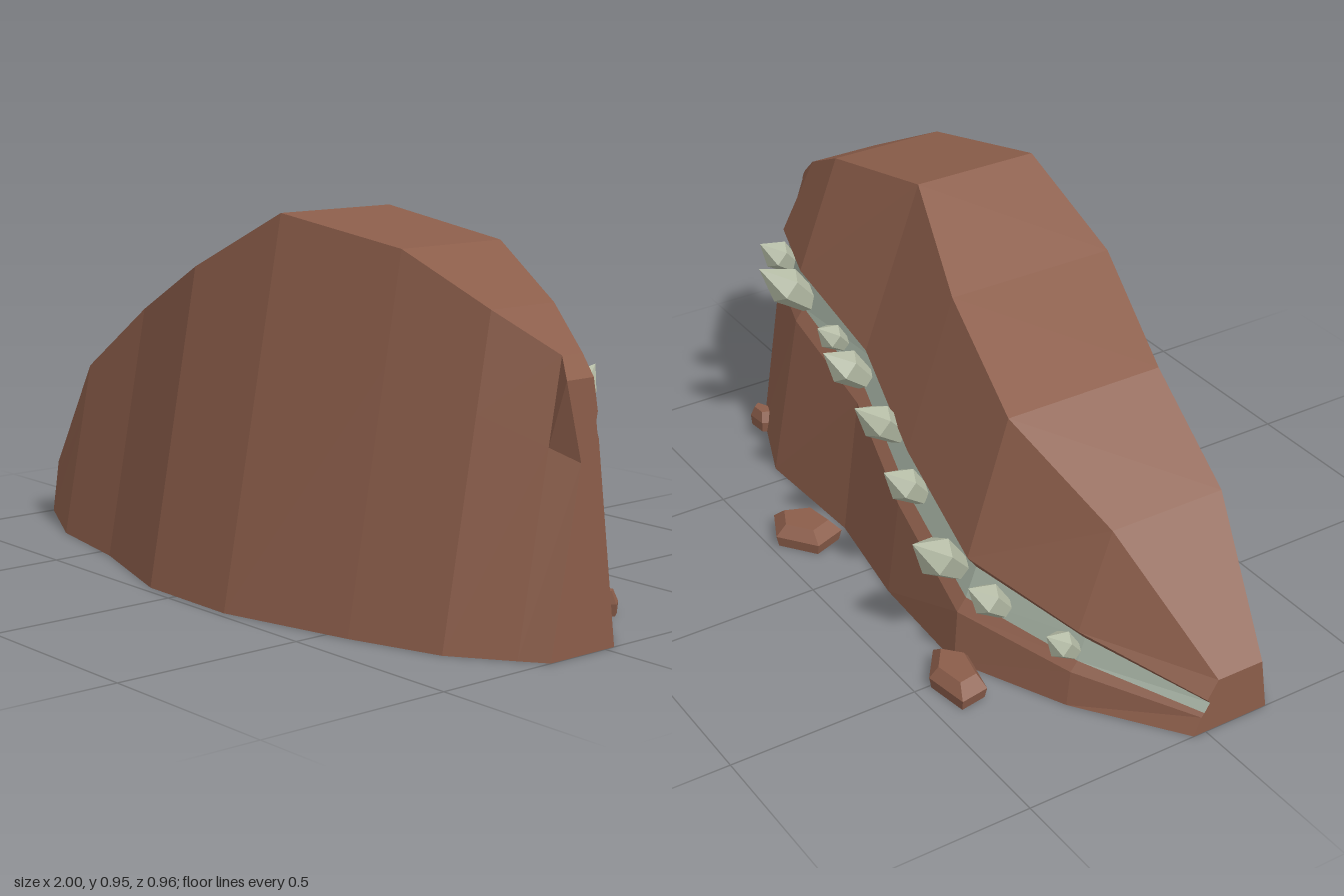
import * as THREE from 'three';

const rockMat = new THREE.MeshStandardMaterial({ color: 0x8b5d4a });
rockMat.name = 'brown rock';
const veinMat = new THREE.MeshStandardMaterial({ color: 0xa0ac9e });
veinMat.name = 'grey green vein';
const crystalMat = new THREE.MeshStandardMaterial({ color: 0xb3baa4 });
crystalMat.name = 'pale crystal';

// Faceted normals: every triangle keeps its own
function flat(geometry) {
  const g = geometry.index ? geometry.toNonIndexed() : geometry;
  g.computeVertexNormals();
  return g;
}

function addMesh(parent, name, geometry, material) {
  const mesh = new THREE.Mesh(flat(geometry), material);
  mesh.name = name;
  parent.add(mesh);
  return mesh;
}

function fromPoints(points) {
  return new THREE.BufferGeometry().setFromPoints(points);
}

// Hill stations: x, top height, front foot z, front top z, back top z, back foot z,
// vein height, lower lip z, upper lip z, half vein height, groove depth
const STATIONS = [
  [-1, 0.14, 0.18, 0.16, 0.03, -0.035, 0.07, -0.015, 0, 0.012, 0.008],
  [-0.74, 0.46, 0.31, 0.22, -0.1, -0.22, 0.15, -0.21, -0.19, 0.03, 0.02],
  [-0.45, 0.65, 0.365, 0.24, -0.2, -0.355, 0.22, -0.345, -0.315, 0.04, 0.025],
  [-0.11, 0.8, 0.475, 0.325, -0.14, -0.34, 0.33, -0.305, -0.275, 0.04, 0.025],
  [0.2, 0.955, 0.48, 0.3, -0.045, -0.29, 0.45, -0.24, -0.21, 0.04, 0.025],
  [0.56, 0.895, 0.395, 0.235, -0.08, -0.305, 0.52, -0.22, -0.2, 0.04, 0.025],
  [0.8, 0.775, 0.32, 0.18, -0.02, -0.21, 0.52, -0.14, -0.12, 0.04, 0.02],
  [0.94, 0.68, 0.22, 0.095, 0.03, -0.085, 0.525, -0.018, -0.01, 0.025, 0.01],
  [1, 0.635, 0.175, 0.14, 0.055, -0.03, 0.525, 0.035, 0.04, 0.017, 0.005],
];
const VEIN_ROW = 5;

// Cross-section running from the front foot over the top to the back foot
function section([x, top, ff, ft, bt, bf, vy, lo, up, half, depth]) {
  const lip = half * 1.85;
  const midZ = x === 1 ? 0.09 : THREE.MathUtils.lerp(ff, ft, 0.7);
  return [
    [0, ff], [top * 0.7, midZ], [top, ft], [top, bt],
    [vy + lip, up], [vy + half, up + depth], [vy - half, lo + depth], [vy - lip, lo],
    [0, bf],
  ].map(([y, z]) => new THREE.Vector3(x, y, z));
}

function buildHill(group) {
  const rings = STATIONS.map(section);
  const n = rings[0].length;
  const rock = [], vein = [];
  for (let i = 0; i < rings.length - 1; i++) {
    for (let j = 0; j < n; j++) {
      const k = (j + 1) % n;
      const a = rings[i][j], b = rings[i + 1][j], c = rings[i + 1][k], d = rings[i][k];
      (j === VEIN_ROW ? vein : rock).push(a, b, c, a, c, d);
    }
  }
  // End caps as fans
  for (const ring of [rings[0], rings[rings.length - 1]]) {
    const centre = ring.reduce((s, p) => s.add(p), new THREE.Vector3()).divideScalar(n);
    ring.forEach((p, j) => {
      const q = ring[(j + 1) % n];
      if (centre.x < 0) rock.push(centre, p, q);
      else rock.push(centre, q, p);
    });
  }
  addMesh(group, 'hill', fromPoints(rock), rockMat);
  addMesh(group, 'mineralVein', fromPoints(vein), veinMat);
}

function lathe(profile, sides) {
  return new THREE.LatheGeometry(profile.map(([r, y]) => new THREE.Vector2(r, y)), sides);
}

// Crystals: base x, y, z, length, radius, sideways lean
const CRYSTALS = [
  [0.74, 0.515, -0.13, 0.13, 0.042, 0],
  [0.55, 0.5, -0.18, 0.19, 0.052, 0.1],
  [0.34, 0.475, -0.2, 0.11, 0.036, -0.1],
  [0.2, 0.44, -0.215, 0.15, 0.048, 0.15],
  [0, 0.385, -0.235, 0.18, 0.047, -0.05],
  [-0.17, 0.305, -0.27, 0.145, 0.045, 0.05],
  [-0.4, 0.235, -0.31, 0.19, 0.053, -0.08],
  [-0.55, 0.19, -0.275, 0.13, 0.042, 0.1],
  [-0.73, 0.145, -0.195, 0.11, 0.036, 0],
];

function buildCrystals(group) {
  const up = new THREE.Vector3(0, 1, 0);
  CRYSTALS.forEach(([x, y, z, len, r, lean], i) => {
    const shape = lathe([[0, 0], [r * 0.62, 0], [r, len * 0.5], [0, len]], 6);
    const crystal = addMesh(group, 'crystal' + (i + 1), shape, crystalMat);
    crystal.position.set(x, y, z);
    crystal.quaternion.setFromUnitVectors(up, new THREE.Vector3(lean, 0.68, -0.73).normalize());
  });
}

// Loose stones: x, z, half width, half depth, turn
const STONES = [
  [-0.53, -0.4, 0.115, 0.065, -0.15],
  [0.22, -0.4, 0.105, 0.08, 0.45],
  [0.78, -0.225, 0.05, 0.027, 0.1],
];

function buildStones(group) {
  STONES.forEach(([x, z, w, d, turn], i) => {
    const shape = lathe([[0, 0], [0.92, 0], [1, 0.03], [0.65, 0.06], [0, 0.06]], 5);
    shape.rotateY(0.5 + i);
    shape.scale(w, 1, d);
    const stone = addMesh(group, 'looseStone' + (i + 1), shape, rockMat);
    stone.position.set(x, 0, z);
    stone.rotation.y = turn;
  });
}

export function createModel() {
  const group = new THREE.Group();
  group.name = 'crystalHill';
  buildHill(group);
  buildCrystals(group);
  buildStones(group);
  return group;
}
